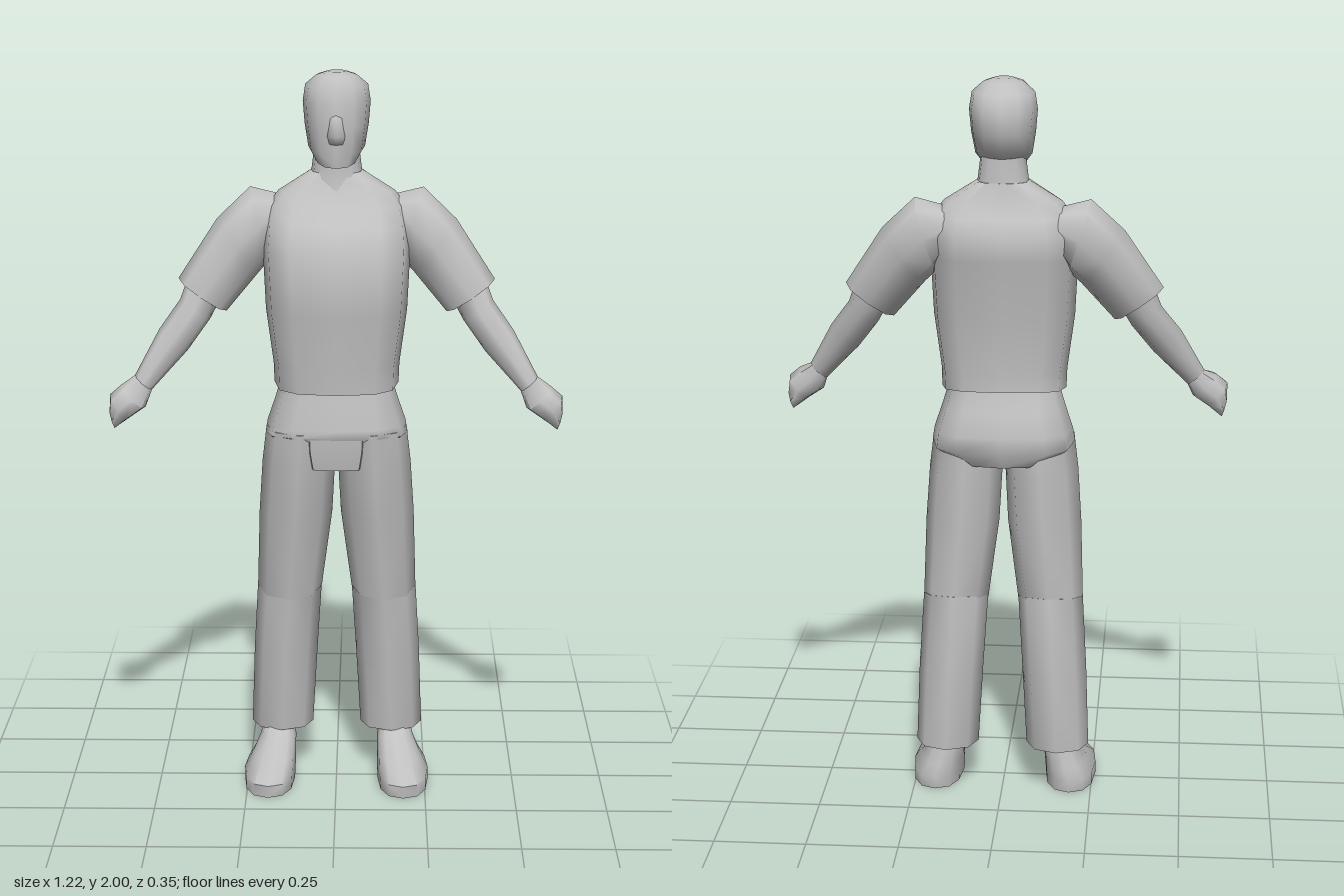
import * as THREE from 'three';
import { toCreasedNormals } from 'three/addons/utils/BufferGeometryUtils.js';

const grey = new THREE.MeshStandardMaterial({ color: 0xc0c0c0 });
grey.name = 'plain grey';

// Cross-section: inner point (ax, ay), outer point (bx, by), back z, front z, lift of the front edge
const ring = (ax, ay, bx, by, z0, z1, lift = 0) => ({ ax, ay, bx, by, z0, z1, lift });
// Level cross-section at height y, from x0 to x1
const level = (y, x0, x1, z0, z1, lift = 0) => ring(x0, y, x1, y, z0, z1, lift);
// Level cross-section centred on x = 0
const mid = (y, w, z0, z1, lift = 0) => level(y, -w, w, z0, z1, lift);

// Skins a row of cross-sections and closes both ends
function loft(name, rings, { sides = 12, power = 0.8, crease = 1.1, mirror = 1 } = {}) {
  const pow = (v) => Math.sign(v) * Math.abs(v) ** power;
  const pts = rings.map((r) => Array.from({ length: sides }, (_, i) => {
    const t = (i / sides) * Math.PI * 2;
    const c = pow(Math.cos(t)), s = pow(Math.sin(t));
    return new THREE.Vector3(
      mirror * ((r.ax + r.bx) / 2 + (c * (r.bx - r.ax)) / 2),
      (r.ay + r.by) / 2 + (c * (r.by - r.ay)) / 2 + s * r.lift,
      (r.z0 + r.z1) / 2 + (s * (r.z1 - r.z0)) / 2);
  }));
  const centre = (p) => p.reduce((a, v) => a.add(v), new THREE.Vector3()).divideScalar(sides);
  const last = pts.length - 1, first = centre(pts[0]), end = centre(pts[last]);
  const tris = [];
  for (let i = 0; i < sides; i++) {
    const j = (i + 1) % sides;
    for (let k = 0; k < last; k++) {
      const [a, b, c, d] = [pts[k][i], pts[k][j], pts[k + 1][j], pts[k + 1][i]];
      tris.push([a, b, c], [a, c, d]);
    }
    tris.push([first, pts[0][j], pts[0][i]], [end, pts[last][i], pts[last][j]]);
  }
  // Turn the faces outward whichever way the sections run
  const volume = tris.reduce((v, [a, b, c]) =>
    v + a.clone().sub(first).dot(b.clone().sub(first).cross(c.clone().sub(first))), 0);
  const order = volume < 0 ? [0, 2, 1] : [0, 1, 2];
  const geo = new THREE.BufferGeometry().setFromPoints(tris.flatMap((t) => order.map((i) => t[i])));
  const mesh = new THREE.Mesh(toCreasedNormals(geo, crease), grey);
  mesh.name = name;
  return mesh;
}

function arm(m) {
  const g = new THREE.Group();
  g.name = m > 0 ? 'leftArm' : 'rightArm';
  const o = { sides: 8, power: 0.95, mirror: m };
  g.add(
    loft('sleeve', [
      ring(0.14, 1.56, 0.155, 1.665, -0.13, 0.0),
      ring(0.175, 1.49, 0.235, 1.685, -0.152, 0.03),
      ring(0.21, 1.455, 0.325, 1.6, -0.13, 0.035),
      ring(0.3, 1.35, 0.43, 1.44, -0.078, 0.04),
    ], o),
    loft('forearm', [
      ring(0.315, 1.385, 0.405, 1.44, -0.07, 0.03),
      ring(0.345, 1.33, 0.425, 1.385, -0.055, 0.05),
      ring(0.405, 1.25, 0.48, 1.31, -0.01, 0.075),
      ring(0.5, 1.15, 0.545, 1.19, 0.04, 0.1),
    ], o),
    loft('hand', [
      ring(0.5, 1.15, 0.545, 1.19, 0.045, 0.1),
      ring(0.515, 1.11, 0.58, 1.17, 0.045, 0.16),
      ring(0.555, 1.083, 0.61, 1.145, 0.045, 0.17),
      ring(0.594, 1.055, 0.61, 1.11, 0.048, 0.16),
    ], { ...o, power: 0.7 }));
  return g;
}

function leg(m) {
  const g = new THREE.Group();
  g.name = m > 0 ? 'leftLeg' : 'rightLeg';
  const o = { sides: 8, power: 1, mirror: m };
  g.add(
    loft('thigh', [
      level(1.03, 0.003, 0.193, -0.14, 0.11),
      level(0.93, 0.004, 0.205, -0.142, 0.103),
      level(0.78, 0.012, 0.215, -0.142, 0.08),
      level(0.555, 0.042, 0.222, -0.14, 0.045, -0.015),
    ], o),
    loft('trouserCuff', [
      level(0.565, 0.042, 0.222, -0.142, 0.043, -0.02),
      level(0.36, 0.055, 0.234, -0.163, 0.027),
      level(0.135, 0.068, 0.242, -0.157, 0.002),
    ], o),
    loft('shoe', [
      level(0, 0.118, 0.26, -0.12, 0.172),
      level(0.035, 0.116, 0.26, -0.125, 0.175),
      level(0.07, 0.116, 0.237, -0.115, 0.095),
      level(0.11, 0.116, 0.217, -0.105, 0.015),
      level(0.16, 0.125, 0.205, -0.095, -0.02),
    ], { ...o, sides: 12, power: 0.85 }));
  return g;
}

export function createModel() {
  const model = new THREE.Group();
  model.name = 'standingMan';

  // Head, nose and neck
  model.add(
    loft('head', [
      mid(1.772, 0.056, -0.105, 0.07, -0.02),
      mid(1.8, 0.076, -0.125, 0.073, -0.012),
      mid(1.86, 0.086, -0.152, 0.075),
      mid(1.92, 0.091, -0.154, 0.067),
      mid(1.965, 0.084, -0.132, 0.055),
      mid(1.99, 0.055, -0.095, 0.036),
      mid(2, 0.025, -0.06, 0.005),
    ], { crease: 1.2, power: 0.9 }),
    loft('nose', [
      mid(1.815, 0.025, 0.03, 0.074),
      mid(1.838, 0.026, 0.03, 0.092),
      mid(1.9, 0.02, 0.03, 0.068),
    ], { sides: 8, power: 1, crease: 1.5 }),
    loft('neck', [
      mid(1.66, 0.09, -0.12, 0.03),
      mid(1.72, 0.07, -0.112, 0.012),
      mid(1.8, 0.06, -0.108, 0.016),
    ]));

  // Shirt body
  model.add(loft('shirt', [
    mid(1.155, 0.17, -0.13, 0.112, -0.012),
    mid(1.21, 0.172, -0.127, 0.115),
    mid(1.36, 0.192, -0.142, 0.13),
    mid(1.53, 0.2, -0.165, 0.145),
    mid(1.595, 0.197, -0.177, 0.09),
    mid(1.64, 0.186, -0.145, 0.055),
    mid(1.678, 0.158, -0.122, 0.025),
    mid(1.732, 0.072, -0.112, 0.005),
  ], { power: 0.7 }));

  // Hips and fly panel
  model.add(
    loft('hips', [
      mid(1.17, 0.15, -0.122, 0.085),
      mid(1.11, 0.168, -0.14, 0.098),
      mid(1.045, 0.19, -0.168, 0.112, -0.003),
      mid(1.01, 0.196, -0.163, 0.115, 0.012),
      mid(0.965, 0.12, -0.145, 0.07, 0.005),
    ], { power: 0.7 }),
    loft('flyPanel', [
      mid(1.04, 0.086, 0.0, 0.112),
      mid(0.98, 0.083, 0.0, 0.11),
      mid(0.93, 0.074, 0.0, 0.102),
    ], { sides: 8, power: 0.5 }));

  for (const m of [1, -1]) model.add(arm(m), leg(m));
  return model;
}
